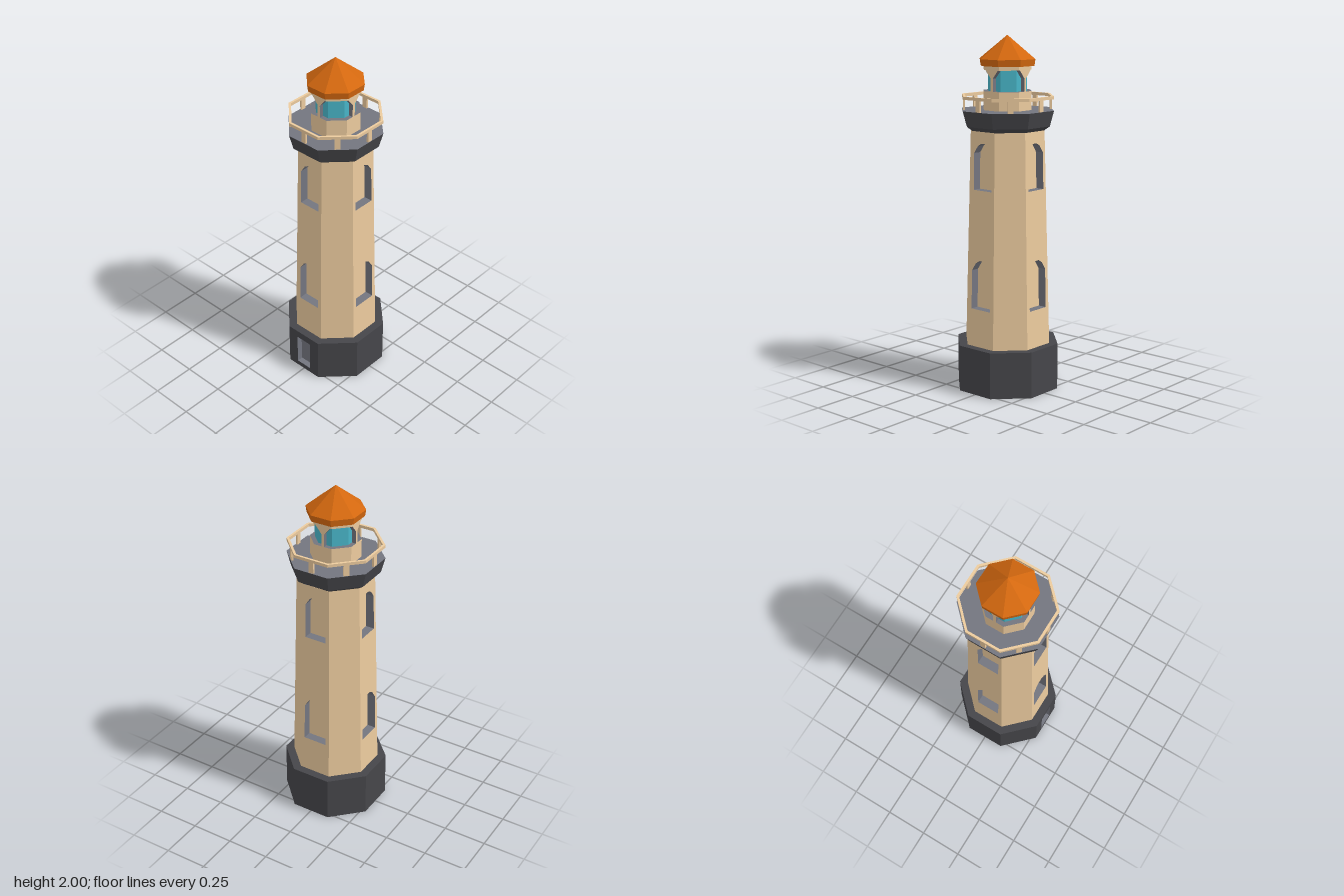
import * as THREE from 'three';

const mat = (color) => new THREE.MeshStandardMaterial({ color, flatShading: true, side: THREE.DoubleSide });
const STONE = mat(0xeccb9e), DARK = mat(0x46464a), GREY = mat(0x73757f);
const ORANGE = mat(0xd4680f), GLASS = mat(0x48b5c8);
const CORNER = 1 / Math.cos(Math.PI / 8); // flat-to-corner ratio of an octagon
const HALF = Math.tan(Math.PI / 8);       // half side length per unit of apothem

function add(parent, name, geometry, material) {
  const mesh = new THREE.Mesh(geometry, material);
  mesh.name = name;
  parent.add(mesh);
  return mesh;
}

// Octagonal ring from a profile of [apothem, y], flat side to the front
function octagon(profile) {
  const pts = profile.map(([r, y]) => new THREE.Vector2(r * CORNER, y));
  return new THREE.LatheGeometry(pts, 8, Math.PI / 8);
}

// Flat outline laid on a sloping wall plane z = depth(y)
function onWall(shape, depth) {
  const g = new THREE.ShapeGeometry(shape);
  const p = g.attributes.position;
  for (let i = 0; i < p.count; i++) p.setZ(i, depth(p.getY(i)));
  g.computeVertexNormals();
  return g;
}

// Sides of a recess, running inward from an opening
function reveal(outline, depth, inset) {
  const pos = [];
  outline.forEach((a, i) => {
    const b = outline[(i + 1) % outline.length];
    const za = depth(a.y), zb = depth(b.y);
    pos.push(a.x, a.y, za, a.x, a.y, za - inset, b.x, b.y, zb - inset);
    pos.push(a.x, a.y, za, b.x, b.y, zb - inset, b.x, b.y, zb);
  });
  const g = new THREE.BufferGeometry();
  g.setAttribute('position', new THREE.Float32BufferAttribute(pos, 3));
  g.computeVertexNormals();
  return g;
}

const V = (x, y) => new THREE.Vector2(x, y);
const archedOpening = (w, y0, spring, top) => {
  const h = top - spring;
  return [V(-w, y0), V(w, y0), V(w, spring), V(w * 0.6, spring + h * 0.72), V(w * 0.2, top),
    V(-w * 0.2, top), V(-w * 0.6, spring + h * 0.72), V(-w, spring)];
};

// One wall of an octagonal storey, with recessed openings
function wall(name, y0, y1, depth, material, openings, inset, paneMaterial) {
  const group = new THREE.Group();
  group.name = name;
  const a = depth(y0) * HALF, b = depth(y1) * HALF;
  const shape = new THREE.Shape([V(-a, y0), V(a, y0), V(b, y1), V(-b, y1)]);
  openings.forEach((o) => shape.holes.push(new THREE.Path(o)));
  add(group, 'wallFace', onWall(shape, depth), material);
  openings.forEach((o) => {
    add(group, 'recessSides', reveal(o, depth, inset), GREY);
    add(group, 'recessBack', onWall(new THREE.Shape(o), (y) => depth(y) - inset), paneMaterial);
  });
  return group;
}

export function createModel() {
  const model = new THREE.Group();
  model.name = 'lighthouse';

  // Plinth and tapering tower, wall by wall
  const baseDepth = () => 0.278;
  const towerDepth = (y) => 0.232 - (0.032 * (y - 0.265)) / 1.215;
  const door = [V(-0.05, 0.03), V(0.05, 0.03), V(0.05, 0.22), V(-0.05, 0.22)];
  const windows = [archedOpening(0.07, 0.48, 0.7, 0.76), archedOpening(0.065, 1.155, 1.36, 1.415)];
  for (let i = 0; i < 8; i++) {
    const base = wall('baseWall', 0, 0.265, baseDepth, DARK, i === 0 ? [door] : [], 0.035, GREY);
    const tower = wall('towerWall', 0.265, 1.48, towerDepth, STONE, i % 2 ? [] : windows, 0.05, STONE);
    for (const part of [base, tower]) {
      part.rotation.y = (i * Math.PI) / 4;
      model.add(part);
    }
  }
  add(model, 'baseLedge', octagon([[0.278, 0.265], [0.23, 0.265]]), DARK);

  // Gallery
  add(model, 'galleryRim', octagon([[0.198, 1.48], [0.228, 1.503], [0.25, 1.59]]), DARK);
  add(model, 'galleryFloor', octagon([[0.25, 1.59], [0.12, 1.59]]), GREY);
  add(model, 'handrail',
    octagon([[0.248, 1.653], [0.248, 1.67], [0.235, 1.67], [0.235, 1.653], [0.248, 1.653]]), STONE);

  // Lantern room
  add(model, 'lanternBase', octagon([[0.13, 1.59], [0.13, 1.695]]), STONE);
  add(model, 'lanternSill', octagon([[0.13, 1.695], [0.1, 1.695]]), GREY);
  add(model, 'lanternGlass', octagon([[0.105, 1.695], [0.105, 1.812]]), GLASS);
  add(model, 'lanternLintel', octagon([[0.1, 1.812], [0.13, 1.812]]), GREY);
  add(model, 'lanternTop', octagon([[0.13, 1.812], [0.13, 1.835]]), STONE);

  // Flared lantern pillars on the four main sides
  const pillar = new THREE.ExtrudeGeometry(new THREE.Shape([V(-0.008, 1.695), V(0.008, 1.695),
    V(0.008, 1.768), V(0.045, 1.812), V(-0.045, 1.812), V(-0.008, 1.768)]),
  { depth: 0.025, bevelEnabled: false });
  pillar.translate(0, 0, 0.105);

  // Railing posts in the middle of each side
  const post = new THREE.BoxGeometry(0.03, 0.065, 0.011);
  post.translate(0, 1.622, 0.2415);
  for (let i = 0; i < 8; i++) {
    add(model, 'railingPost', post, STONE).rotation.y = (i * Math.PI) / 4;
    if (i % 2 === 0) add(model, 'lanternPillar', pillar, [STONE, GREY]).rotation.y = (i * Math.PI) / 4;
  }

  // Roof
  add(model, 'roof', octagon([[0.1, 1.833], [0.145, 1.833], [0.15, 1.87], [0, 2]]), ORANGE);

  return model;
}
